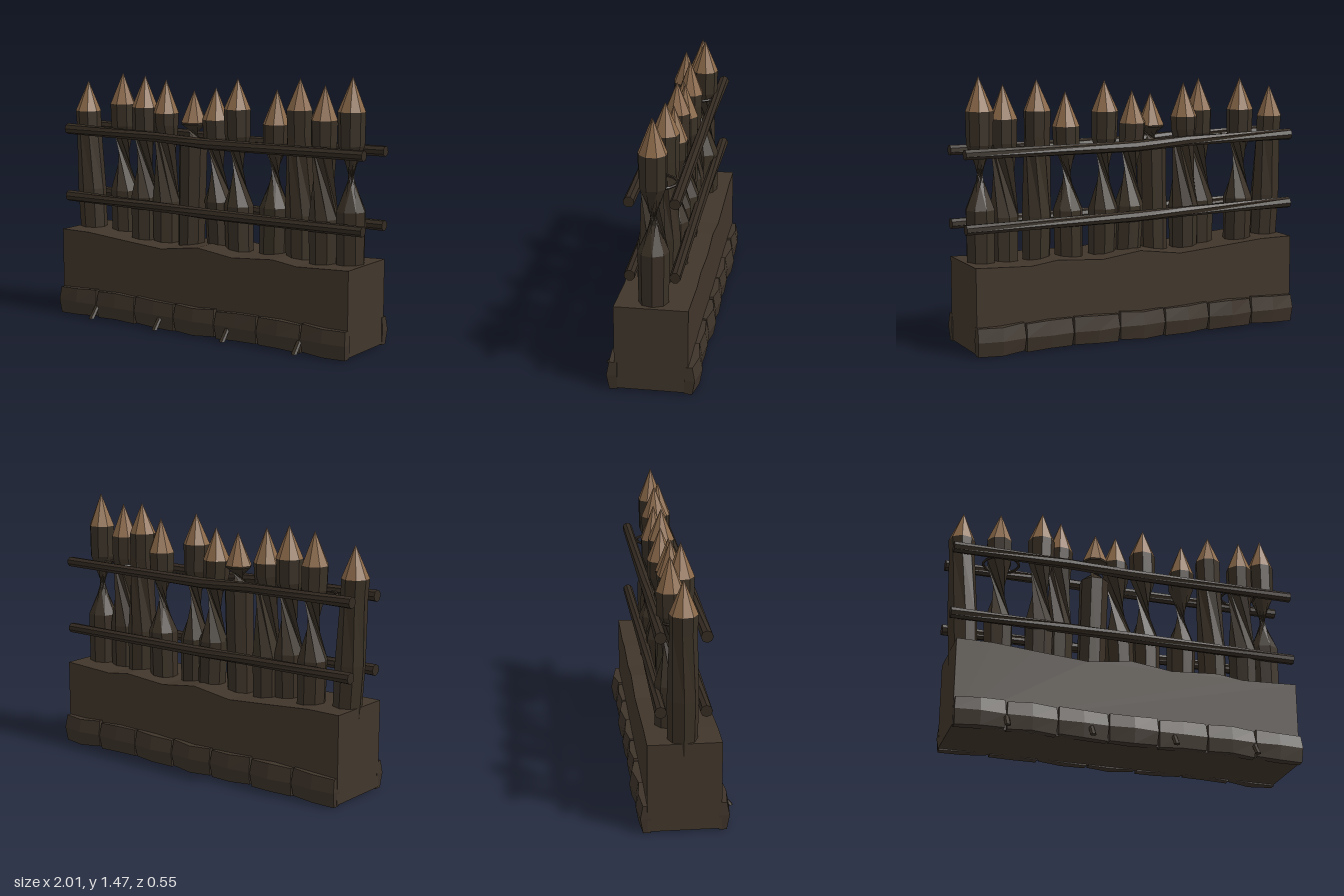
import * as THREE from 'three';

const material = (name, color) => {
  const m = new THREE.MeshStandardMaterial({ color, side: THREE.DoubleSide });
  m.name = name;
  return m;
};

// Faceted copy of a geometry, one normal per face
function faceted(geometry) {
  const g = geometry.index ? geometry.toNonIndexed() : geometry;
  g.computeVertexNormals();
  return g;
}

// Skin over rings of { p: [x, y, z], r, turn }; axis 'y' (upright) or 'x' (lying)
function loft(rings, sides, axis = 'y') {
  const pos = [], index = [];
  for (const { p, r, turn = 0 } of rings) {
    for (let i = 0; i < sides; i++) {
      const a = turn + (i / sides) * Math.PI * 2;
      const c = Math.cos(a) * r, s = Math.sin(a) * r;
      if (axis === 'y') pos.push(p[0] + c, p[1], p[2] + s);
      else pos.push(p[0], p[1] + s, p[2] + c);
    }
  }
  for (let k = 0; k < rings.length - 1; k++) {
    for (let i = 0; i < sides; i++) {
      const j = (i + 1) % sides, a = k * sides + i, b = k * sides + j;
      const c = a + sides, d = b + sides;
      index.push(a, c, d, a, d, b);
    }
  }
  const top = (rings.length - 1) * sides;
  for (let i = 1; i < sides - 1; i++) {
    index.push(0, i, i + 1, top, top + i + 1, top + i);
  }
  const g = new THREE.BufferGeometry();
  g.setAttribute('position', new THREE.Float32BufferAttribute(pos, 3));
  g.setIndex(index);
  return faceted(g);
}

export function createModel() {
  const earth = material('earth', 0x41362b);
  const stone = material('stone', 0x3e342a);
  const bark = material('dark bark', 0x3a3126);
  const cutWood = material('cut wood', 0x8c6a4a);
  const railWood = material('rail wood', 0x342b22);

  const model = new THREE.Group();
  model.name = 'palisade';
  const add = (name, geometry, mat) => {
    const mesh = new THREE.Mesh(geometry, mat);
    mesh.name = name;
    model.add(mesh);
    return mesh;
  };

  // Earth bank with an uneven top edge
  const edge = [[0.97, 0.49], [0.65, 0.475], [0.5, 0.495], [0.23, 0.475], [0, 0.505],
    [-0.25, 0.47], [-0.55, 0.492], [-0.78, 0.51], [-0.975, 0.51]];
  const bank = new THREE.Shape();
  bank.moveTo(-0.975, 0.02);
  bank.lineTo(0.97, 0.02);
  edge.forEach(([x, y]) => bank.lineTo(x, y));
  bank.closePath();
  const bankGeometry = new THREE.ExtrudeGeometry(bank, { depth: 0.39, bevelEnabled: false });
  bankGeometry.translate(0, 0, -0.215);
  add('earthBank', bankGeometry, earth);

  // Bulging foundation stones along the front and back
  for (const side of [1, -1]) {
    for (let i = 0; i < 7; i++) {
      const face = side > 0 ? 0.19 : -0.225;
      const wave = Math.sin(i * 2.4 + side);
      const g = new THREE.BoxGeometry(0.265, 0.155, 0.06, 2, 2, 1);
      const p = g.attributes.position;
      for (let v = 0; v < p.count; v++) {
        const x = p.getX(v), y = p.getY(v);
        if (p.getZ(v) * side > 0) {
          let bulge = Math.abs(y) < 0.01 ? 0.014 : 0;
          if (Math.abs(x) < 0.01) bulge += side > 0 ? 0.008 + 0.006 * wave : 0.018 + 0.006 * wave;
          p.setZ(v, side * (0.012 + bulge));
        }
        if (Math.abs(y) < 0.01) p.setX(v, x * 1.04);
        else p.setY(v, y + 0.006 * Math.sin(i * 1.7 + x * 14));
      }
      g.translate(-0.838 + i * 0.2795, 0.094, face);
      add('foundationStone', faceted(g), stone);
    }
  }

  // Small pegs leaning out at the foot of the front
  for (const x of [-0.7, -0.24, 0.225, 0.69]) {
    add('footPeg', loft([
      { p: [x + 0.005, 0.14, 0.16], r: 0.014 },
      { p: [x, 0.018, 0.255], r: 0.018 },
    ].reverse(), 6), bark);
  }

  // Stakes: base x, tip x, z, shoulder y, tip y, twist in degrees, twist from y, twist to y
  const stakes = [
    [-0.895, -0.935, -0.025, 1.2, 1.375, 10, 0.74, 1.1],
    [-0.695, -0.71, -0.07, 1.25, 1.43, 130, 0.74, 1.12],
    [-0.49, -0.485, 0.01, 1.25, 1.43, 110, 0.73, 1.12],
    [-0.365, -0.365, -0.03, 1.22, 1.41, 75, 0.71, 1.15],
    [-0.18, -0.16, -0.02, 1.18, 1.36, 145, 1.05, 1.17],
    [0.01, -0.03, -0.05, 1.2, 1.38, 125, 0.74, 1.1],
    [0.15, 0.13, -0.03, 1.27, 1.44, 135, 0.73, 1.12],
    [0.36, 0.375, -0.05, 1.2, 1.39, 148, 0.74, 1.1],
    [0.55, 0.535, -0.03, 1.29, 1.46, 30, 0.72, 1.15],
    [0.72, 0.715, 0.01, 1.25, 1.435, 75, 0.72, 1.12],
    [0.87, 0.865, -0.02, 1.3, 1.485, 160, 0.77, 1.12],
  ];
  stakes.forEach(([x0, x1, z, shoulder, tip, twist, y1, y2], i) => {
    const start = i * 0.7;
    const end = start + THREE.MathUtils.degToRad(twist);
    const at = (y) => [THREE.MathUtils.lerp(x0, x1, (y - 0.4) / (shoulder - 0.4)), y, z];
    const collar = { p: [x1, shoulder, z], r: 0.075, turn: end };
    add('stakeShaft', loft([
      { p: at(0.4), r: 0.078, turn: start },
      { p: at(y1), r: 0.083, turn: start },
      { p: at(y2), r: 0.072, turn: end },
      collar,
    ], 8), bark);
    add('stakeTip', loft([
      collar,
      { p: [x1 + 0.004, tip, z], r: 0.001, turn: end },
    ], 8), cutWood);
  });

  // Slightly bent rails, upper and lower, front and back
  for (const z of [0.09, -0.143]) {
    for (const y of [1.09, 0.69]) {
      const sag = y > 1 ? -0.012 : -0.004;
      add('rail', loft([
        { p: [-1, y + 0.008, z - 0.004], r: 0.032 },
        { p: [-0.33, y + 0.002, z], r: 0.029, turn: 0.5 },
        { p: [0, y + sag, z + 0.004], r: 0.031, turn: 0.8 },
        { p: [1, y - 0.004, z - 0.008], r: 0.029, turn: 1.1 },
      ], 8, 'x'), railWood);
    }
  }

  // Lashing hoops tying the upper rails together
  for (const [x, z] of [[-0.705, -0.03], [0.715, -0.02]]) {
    const hoop = new THREE.TorusGeometry(0.1, 0.008, 5, 16);
    hoop.rotateX(Math.PI / 2);
    hoop.translate(x, 1.09, z);
    add('lashingHoop', faceted(hoop), railWood);
  }

  return model;
}
